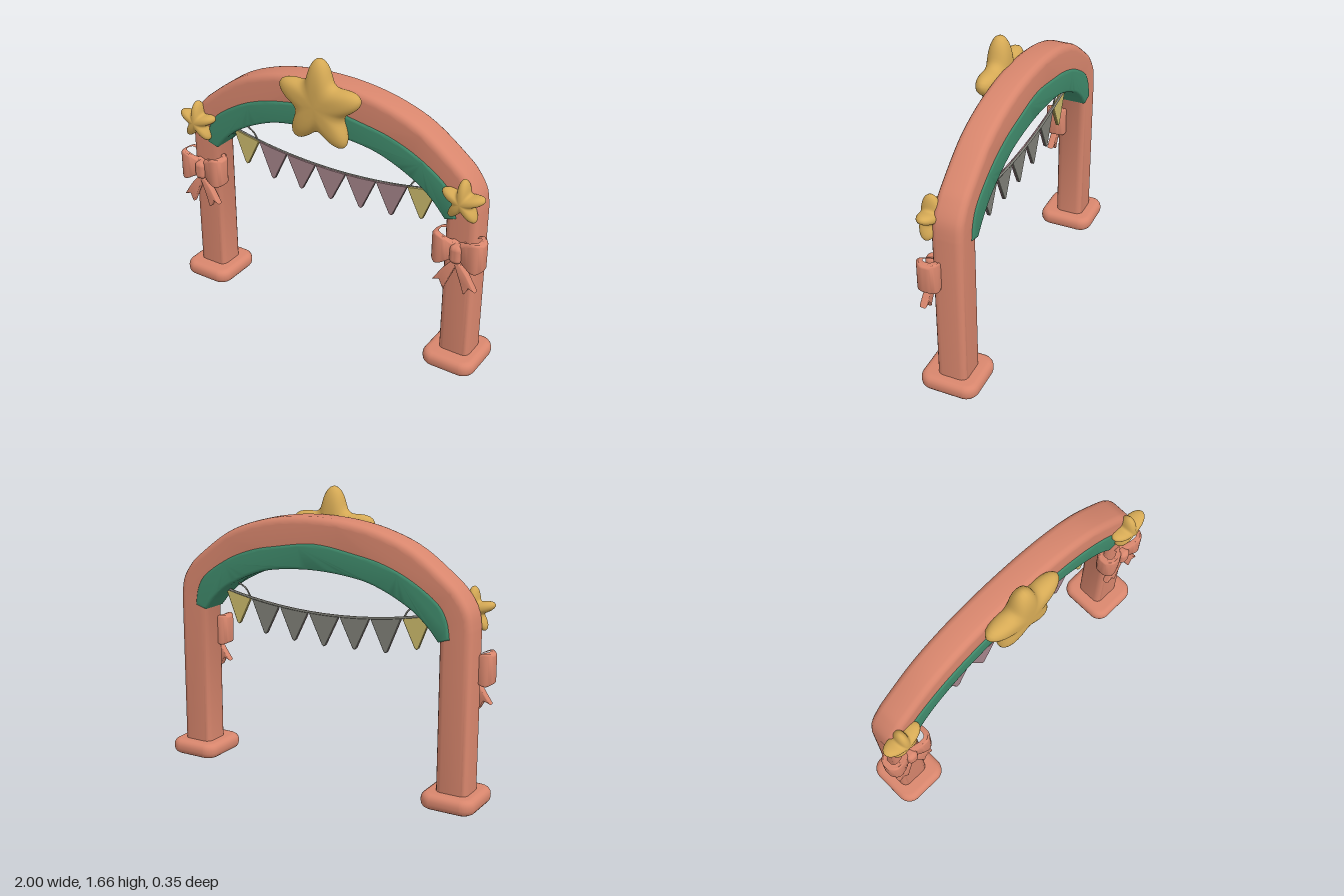
import * as THREE from 'three';
import { mergeVertices, toCreasedNormals } from 'three/addons/utils/BufferGeometryUtils.js';
import { RoundedBoxGeometry } from 'three/addons/geometries/RoundedBoxGeometry.js';

const mat = (name, color, side = THREE.FrontSide) => {
  const m = new THREE.MeshStandardMaterial({ color, side });
  m.name = name;
  return m;
};
const V2 = (p) => new THREE.Vector2(p[0], p[1]);

// Smooth curve, mirrored about x = 0, from a right half listed centre to end
function archCurve(half, n = 60) {
  const left = half.slice(1).reverse().map(([x, y]) => [-x, y]);
  return new THREE.SplineCurve([...left, ...half].map(V2)).getPoints(n);
}

// Extrusion with rounded edges that keeps the outline size and runs z0..z1
function slab(shape, z0, z1, bevel, segs = 4) {
  const g = new THREE.ExtrudeGeometry(shape, {
    depth: z1 - z0 - 2 * bevel, bevelThickness: bevel, bevelSize: bevel,
    bevelOffset: -bevel, bevelSegments: segs, curveSegments: 10,
  });
  g.translate(0, 0, z0 + bevel);
  return toCreasedNormals(g, 0.7);
}

function roundedRect(w, h, r) {
  const s = new THREE.Shape();
  const x = w / 2 - r, y = h / 2 - r;
  s.absarc(x, y, r, 0, Math.PI / 2);
  s.absarc(-x, y, r, Math.PI / 2, Math.PI);
  s.absarc(-x, -y, r, Math.PI, Math.PI * 1.5);
  s.absarc(x, -y, r, Math.PI * 1.5, Math.PI * 2);
  return s;
}

// Puffy star: a sphere whose radius follows a five-lobed rule
function starGeometry(R, depth, inner, lobe, puff) {
  let g = new THREE.SphereGeometry(1, 80, 20);
  g.rotateX(Math.PI / 2);
  const p = g.attributes.position;
  for (let i = 0; i < p.count; i++) {
    const x = p.getX(i), y = p.getY(i), a = Math.atan2(x, y);
    const r = R * (inner + (1 - inner) * Math.pow((1 + Math.cos(5 * a)) / 2, lobe))
      * Math.pow(Math.min(1, Math.hypot(x, y)), puff);
    p.setXYZ(i, r * Math.sin(a), r * Math.cos(a), p.getZ(i) * depth);
  }
  g.deleteAttribute('normal');
  g.deleteAttribute('uv');
  g = mergeVertices(g, 1e-5);
  g.computeVertexNormals();
  return g;
}

// Ribbon loop: an open teardrop band, taller away from the knot
function loopGeometry() {
  const drop = (k, cx) => {
    const pts = [[0, 0.02], [0.05, 0.052], [0.11, 0.062], [0.145, 0.035]];
    const all = [...pts, [0.152, 0], ...pts.map(([x, z]) => [x, -z]).reverse()];
    return new THREE.SplineCurve([...all, all[0]].map(([x, z]) => V2([cx + (x - cx) * k, z * k]))).getPoints(36);
  };
  const s = new THREE.Shape(drop(1, 0.085));
  s.holes.push(new THREE.Path(drop(0.66, 0.085)));
  let g = new THREE.ExtrudeGeometry(s, {
    depth: 0.15, bevelThickness: 0.012, bevelSize: 0.01, bevelOffset: -0.01, bevelSegments: 3,
  });
  g.translate(0, 0, -0.075);
  g.rotateX(-Math.PI / 2);
  const p = g.attributes.position;
  for (let i = 0; i < p.count; i++) {
    const x = p.getX(i);
    const h = 0.5 + 0.55 * THREE.MathUtils.smoothstep(x, 0, 0.12) - 0.12 * THREE.MathUtils.smoothstep(x, 0.12, 0.152);
    p.setY(i, p.getY(i) * h);
  }
  return toCreasedNormals(g, 0.8);
}

export function createModel() {
  const root = new THREE.Group();
  root.name = 'partyArch';
  const coral = mat('coral', 0xd8866d);
  const green = mat('green', 0x3f8a6b);
  const gold = mat('gold', 0xd6aa55);
  const yellow = mat('pale yellow', 0xcbba6c);
  const mauve = mat('mauve', 0xa48389);
  const grey = mat('grey', 0x7f7f77);
  const olive = mat('olive', 0x9a8238);
  const add = (name, geo, m, parent = root, x = 0, y = 0, z = 0) => {
    const mesh = new THREE.Mesh(geo, m);
    mesh.name = name;
    mesh.position.set(x, y, z);
    parent.add(mesh);
    return mesh;
  };

  // Posts and upper arch in one outline
  const outer = archCurve([[0, 1.512], [0.2, 1.5], [0.4, 1.46], [0.6, 1.38], [0.8, 1.235], [0.87, 1.165], [0.92, 1.08], [0.935, 0.98]]);
  const inner = archCurve([[0, 1.265], [0.26, 1.245], [0.42, 1.2], [0.58, 1.12], [0.68, 1.04], [0.75, 0.94]]);
  const frame = new THREE.Shape([
    ...outer, V2([0.935, 0.05]), V2([0.75, 0.05]), ...inner.reverse(), V2([-0.75, 0.05]), V2([-0.935, 0.05]),
  ]);
  add('archFrame', slab(frame, -0.105, 0.068, 0.038), coral);

  // Green band under the arch
  const bandTop = archCurve([[0, 1.37], [0.26, 1.335], [0.42, 1.3], [0.58, 1.235], [0.74, 1.13], [0.8, 1.04], [0.82, 0.935]]);
  const bandLow = archCurve([[0, 1.22], [0.26, 1.2], [0.42, 1.155], [0.58, 1.075], [0.68, 0.995], [0.75, 0.915]]);
  add('greenBand', slab(new THREE.Shape([...bandTop, ...bandLow.reverse()]), -0.113, 0.077, 0.018), green);

  // Centre star
  add('centreStar', starGeometry(0.265, 0.066, 0.6, 1.35, 0.55), gold, root, 0, 1.398, 0.108);

  const baseGeo = slab(roundedRect(0.315, 0.335, 0.075), 0.002, 0.09, 0.036);
  baseGeo.rotateX(-Math.PI / 2);
  const smallStar = starGeometry(0.127, 0.055, 0.5, 1.35, 0.8);
  const loopGeo = loopGeometry();
  const tailGeo = slab(new THREE.Shape([
    [-0.012, -0.06], [0.03, -0.065], [0.075, -0.12], [0.128, -0.205], [0.088, -0.192], [0.062, -0.238], [0.03, -0.16],
  ].map(V2)), -0.02, 0.02, 0.01, 3);

  for (const s of [-1, 1]) {
    const side = s > 0 ? 'left' : 'right';
    add(side + 'Base', baseGeo, coral, root, s * 0.838, 0, -0.01);
    add(side + 'Star', smallStar, gold, root, s * 0.863, 1.068, 0.088);

    // Bow: two loops, knot and two notched tails
    const bow = new THREE.Group();
    bow.name = side + 'Bow';
    bow.position.set(s * 0.85, 0.765, 0.073);
    root.add(bow);
    for (const t of [-1, 1]) {
      add('bowLoop', loopGeo, coral, bow).rotation.y = t > 0 ? 0 : Math.PI;
      const tail = add('bowTail', tailGeo, coral, bow, 0, 0, 0.02);
      tail.scale.x = t;
      tail.rotation.x = -0.06;
    }
    add('bowKnot', new RoundedBoxGeometry(0.07, 0.11, 0.07, 4, 0.028), coral, bow, 0, -0.008, 0.03);

    // Thin ties from the bunting up to the band
    const tie = new THREE.CatmullRomCurve3([[0.5, 1.0], [0.53, 1.045], [0.6, 1.085]].map(([x, y]) => new THREE.Vector3(s * x, y, 0)));
    add(side + 'Tie', new THREE.TubeGeometry(tie, 10, 0.005, 6), grey);
  }

  // Worn patches at the bases
  add('baseUnderside', new THREE.CylinderGeometry(0.1, 0.1, 0.004, 16), olive, root, -0.838, 0.002, -0.01);
  add('basePatch', new RoundedBoxGeometry(0.008, 0.025, 0.09, 2, 0.003), olive, root, 0.982, 0.025, 0.045);

  // Bunting flags, hung edge to edge along a sagging line
  const xs = [-0.67, -0.49, -0.295, -0.1, 0.1, 0.295, 0.49, 0.67];
  const tips = [0.83, 0.785, 0.778, 0.77, 0.776, 0.792, 0.83];
  const lineY = (x) => 0.96 + 0.17 * x * x;
  tips.forEach((tip, i) => {
    const a = xs[i], b = xs[i + 1], m = (a + b) / 2;
    const end = i === 0 || i === 6;
    const flag = new THREE.Shape([
      [a, lineY(a)], [a + 0.01, lineY(a) - 0.025], [m - 0.012, tip + 0.008], [m, tip], [m + 0.012, tip + 0.008],
      [b - 0.01, lineY(b) - 0.025], [b, lineY(b)], [m, lineY(m)],
    ].map(V2));
    add('flagFront', slab(flag, 0, 0.009, 0.003, 1), end ? yellow : mauve);
    add('flagBack', slab(flag, -0.009, 0, 0.003, 1), end ? yellow : grey);
  });
  const line = new THREE.CatmullRomCurve3([-0.73, -0.49, -0.25, 0, 0.25, 0.49, 0.73].map((x) => new THREE.Vector3(x, lineY(x) - 0.004, -0.006)));
  add('buntingLine', new THREE.TubeGeometry(line, 40, 0.007, 6), grey);

  return root;
}
